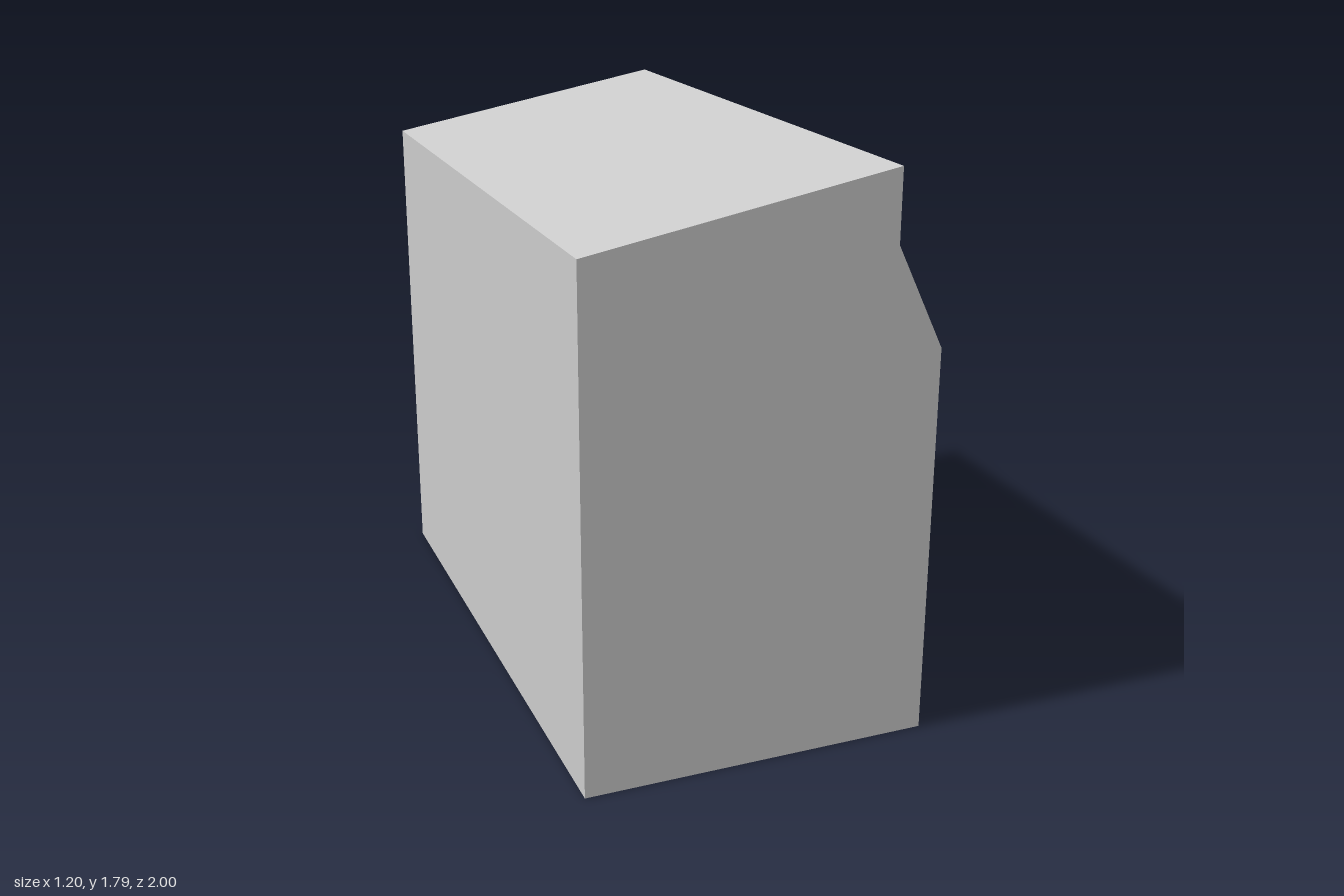
import * as THREE from 'three';

const W = 2; // cabinet width along z
const grey = new THREE.MeshStandardMaterial({ color: 0xcccccc, flatShading: true });

// Cabinet side profile in x/y, counter-clockwise; openings sit on the faces towards +x.
// An opening is [from, to] along the face, its half width and its depth.
const profile = [
  { name: 'bottom', p: [-0.6, 0] },
  { name: 'grille', p: [0.51, 0], open: [0.06, 1.195, 0.933, 0.065] },
  { name: 'controlPanel', p: [0.51, 1.25], open: [0.022, 0.326, 0.683, 0.028] },
  { name: 'upperSlot', p: [0.355, 1.57], open: [0.015, 0.207, 0.688, 0.037] },
  { name: 'top', p: [0.355, 1.795] },
  { name: 'back', p: [-0.6, 1.62] },
];

function rectPoints(w, y0, y1) {
  return [[-w, y0], [w, y0], [w, y1], [-w, y1]].map(([x, y]) => new THREE.Vector2(x, y));
}

function addMesh(parent, name, geometry) {
  const mesh = new THREE.Mesh(geometry, grey);
  mesh.name = name;
  parent.add(mesh);
  return mesh;
}

// Four inward-facing walls and a floor behind an opening
function addRecess(parent, name, [y0, y1, w, depth]) {
  const h = y1 - y0, yc = (y0 + y1) / 2;
  addMesh(parent, name + 'Floor', new THREE.PlaneGeometry(2 * w, h)).position.set(0, yc, -depth);
  for (const s of [-1, 1]) {
    const end = addMesh(parent, name + 'EndWall', new THREE.PlaneGeometry(depth, h));
    end.position.set(s * w, yc, -depth / 2);
    end.rotation.y = -s * Math.PI / 2;
    const ledge = addMesh(parent, name + 'Ledge', new THREE.PlaneGeometry(2 * w, depth));
    ledge.position.set(0, yc + s * h / 2, -depth / 2);
    ledge.rotation.x = s * Math.PI / 2;
  }
}

// One cabinet face: local y runs along the profile edge, local z points outward
function makeFace({ name, p, open }, next) {
  const face = new THREE.Group();
  face.name = name;
  const a = new THREE.Vector3(p[0], p[1], 0);
  const u = new THREE.Vector3(next.p[0], next.p[1], 0).sub(a);
  const length = u.length();
  u.normalize();
  const shape = new THREE.Shape(rectPoints(W / 2, 0, length));
  if (open) {
    shape.holes.push(new THREE.Path(rectPoints(open[2], open[0], open[1])));
    addRecess(face, name, open);
  }
  addMesh(face, name + 'Face', new THREE.ShapeGeometry(shape));
  const basis = new THREE.Matrix4().makeBasis(
    new THREE.Vector3(0, 0, -1), u, new THREE.Vector3(u.y, -u.x, 0));
  face.quaternion.setFromRotationMatrix(basis);
  face.position.copy(a);
  return face;
}

// Tapered knob standing on the panel floor, axis along local z
function addKnob(panel, name, z, along, rTop, rBase, length, lean = 0) {
  const geometry = new THREE.CylinderGeometry(rTop, rBase, length, 18);
  geometry.translate(0, length / 2, 0).rotateX(Math.PI / 2);
  const knob = addMesh(panel, name, geometry);
  knob.position.set(-z, along, -0.028);
  knob.rotation.y = lean;
}

export function createModel() {
  const model = new THREE.Group();
  model.name = 'amplifier';

  // Faces around the profile
  const faces = {};
  profile.forEach((edge, i) => {
    faces[edge.name] = makeFace(edge, profile[(i + 1) % profile.length]);
    model.add(faces[edge.name]);
  });

  // Flat ends of the cabinet
  const outline = profile.map(({ p }) => new THREE.Vector2(p[0], p[1]));
  const side = () => new THREE.ShapeGeometry(new THREE.Shape(outline));
  addMesh(model, 'endPanel', side()).position.z = W / 2;
  const far = side();
  const index = far.index.array;
  for (let i = 0; i < index.length; i += 3) [index[i], index[i + 1]] = [index[i + 1], index[i]];
  far.computeVertexNormals();
  addMesh(model, 'endPanel', far).position.z = -W / 2;

  // Row of small knobs and one large knob
  for (const z of [0.535, 0.34, 0.13, -0.1, -0.315]) {
    addKnob(faces.controlPanel, 'smallKnob', z, 0.157, 0.046, 0.06, 0.07);
  }
  addKnob(faces.controlPanel, 'largeKnob', -0.558, 0.142, 0.063, 0.084, 0.165, -0.07);

  return model;
}
